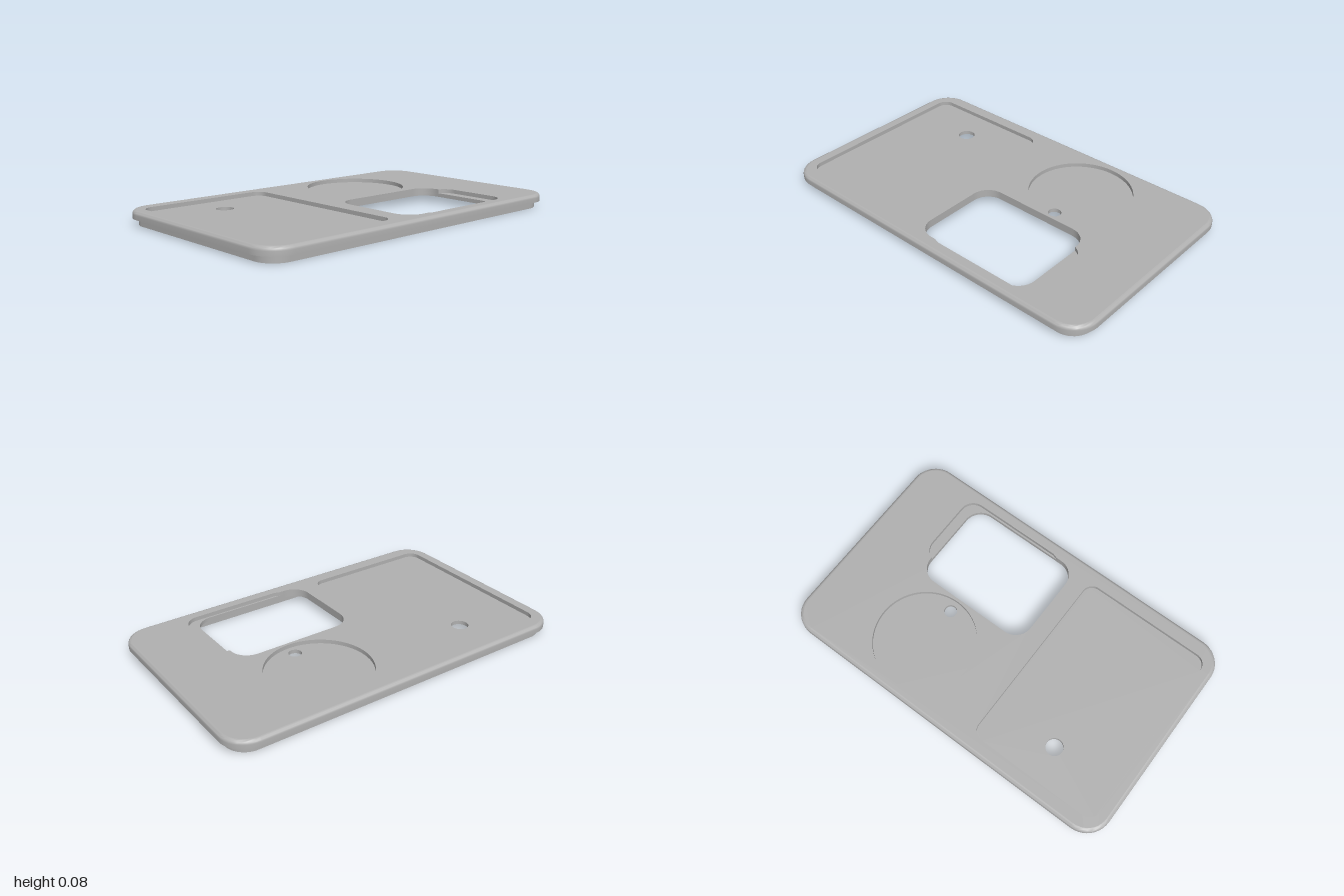
import * as THREE from 'three';
import { toCreasedNormals } from 'three/addons/utils/BufferGeometryUtils.js';

const TOP = 0.08, FLOOR = 0.058, CEILING = 0.037;

// Outlines are counter-clockwise lists of points in plan, with plan y = -z.
function arc(cx, cy, r, from, to, n = 10) {
  return Array.from({ length: n + 1 }, (_, i) => {
    const a = THREE.MathUtils.degToRad(from + ((to - from) * i) / n);
    return new THREE.Vector2(cx + r * Math.cos(a), cy + r * Math.sin(a));
  });
}

function roundedRect(x0, x1, z0, z1, r) {
  return [
    ...arc(x1 - r, -z0 - r, r, 0, 90),
    ...arc(x0 + r, -z0 - r, r, 90, 180),
    ...arc(x0 + r, -z1 + r, r, 180, 270),
    ...arc(x1 - r, -z1 + r, r, 270, 360),
  ];
}

const circle = (x, z, r, n = 64) => arc(x, -z, r, 0, 360, n).slice(0, -1);

// Skin between successive outlines, each at its own height.
function loft(rings) {
  const n = rings[0].outline.length;
  const positions = [], index = [];
  for (const { outline, y } of rings) {
    for (const p of outline) positions.push(p.x, y, -p.y);
  }
  for (let k = 0; k < rings.length - 1; k++) {
    for (let i = 0; i < n; i++) {
      const a = k * n + i, b = k * n + ((i + 1) % n);
      index.push(a, b, b + n, a, b + n, a + n);
    }
  }
  const g = new THREE.BufferGeometry();
  g.setAttribute('position', new THREE.Float32BufferAttribute(positions, 3));
  g.setIndex(index);
  return toCreasedNormals(g, 0.6);
}

const wall = (outline, yTop, yBottom) =>
  loft([{ outline, y: yTop }, { outline, y: yBottom }]);

// Flat horizontal face with holes, facing up or down.
function face(outline, holes, y, down = false) {
  const shape = new THREE.Shape(outline);
  shape.holes = holes.map((h) => new THREE.Path(h));
  const g = new THREE.ShapeGeometry(shape);
  g.rotateX(-Math.PI / 2).translate(0, y, 0);
  if (down) {
    g.index.array.reverse();
    g.computeVertexNormals();
  }
  return g;
}

export function createModel() {
  const group = new THREE.Group();
  const grey = new THREE.MeshStandardMaterial({ color: 0xb0b0b0 });
  grey.name = 'grey';
  const add = (name, geometry) => {
    const mesh = new THREE.Mesh(geometry, grey);
    mesh.name = name;
    group.add(mesh);
  };

  // Outlines of the cut-outs
  const rim = (d) => roundedRect(-1 + d, 1 - d, -0.61 + d, 0.61 - d, 0.14 - d);
  const tray = roundedRect(-0.935, -0.18, -0.53, 0.525, 0.06);
  const dish = circle(0.33, -0.28, 0.28);
  const trayHole = circle(-0.56, -0.33, 0.047, 32);
  const dishHole = circle(0.33, -0.06, 0.035, 32);
  const window = roundedRect(-0.08, 0.605, 0.015, 0.535, 0.1);

  // The window's upper part widens into a shallow ledge at front and left
  const ledgeEdge = [
    new THREE.Vector2(0.05, -0.535),
    new THREE.Vector2(0.08, -0.545),
    ...arc(0.58, -0.465, 0.08, 270, 360),
    ...arc(0.58, -0.2, 0.08, 0, 71.8),
  ];
  const windowTop = [
    ...arc(0.02, -0.435, 0.1, 180, 270),
    ...ledgeEdge,
    ...arc(0.505, -0.115, 0.1, 0, 90),
    ...arc(0.02, -0.115, 0.1, 90, 180),
  ];
  const ledge = [...ledgeEdge, ...arc(0.505, -0.435, 0.1, 0, -90)];

  // Outer skin: inside of the lip, lip, overhang, side and rounded top edge
  const r = 0.02;
  const profile = [[0.052, CEILING], [0.052, 0], [0.03, 0], [0.03, CEILING], [0, CEILING]];
  for (let i = 0; i <= 6; i++) {
    const a = (i / 6) * Math.PI / 2;
    profile.push([r - r * Math.cos(a), TOP - r + r * Math.sin(a)]);
  }
  add('rimAndLip', loft(profile.map(([d, y]) => ({ outline: rim(d), y }))));

  // Top and underside
  add('topFace', face(rim(r), [tray, dish, windowTop], TOP));
  add('underside', face(rim(0.052), [trayHole, dishHole, window], CEILING, true));

  // Recesses with their drain holes
  for (const [name, outline, hole] of [['tray', tray, trayHole], ['dish', dish, dishHole]]) {
    add(name + 'Wall', wall(outline, TOP, FLOOR));
    add(name + 'Floor', face(outline, [hole], FLOOR));
    add(name + 'HoleWall', wall(hole, FLOOR, CEILING));
  }

  // Window opening
  add('windowUpperWall', wall(windowTop, TOP, FLOOR));
  add('windowLedge', face(ledge, [], FLOOR));
  add('windowLowerWall', wall(window, FLOOR, CEILING));

  return group;
}
